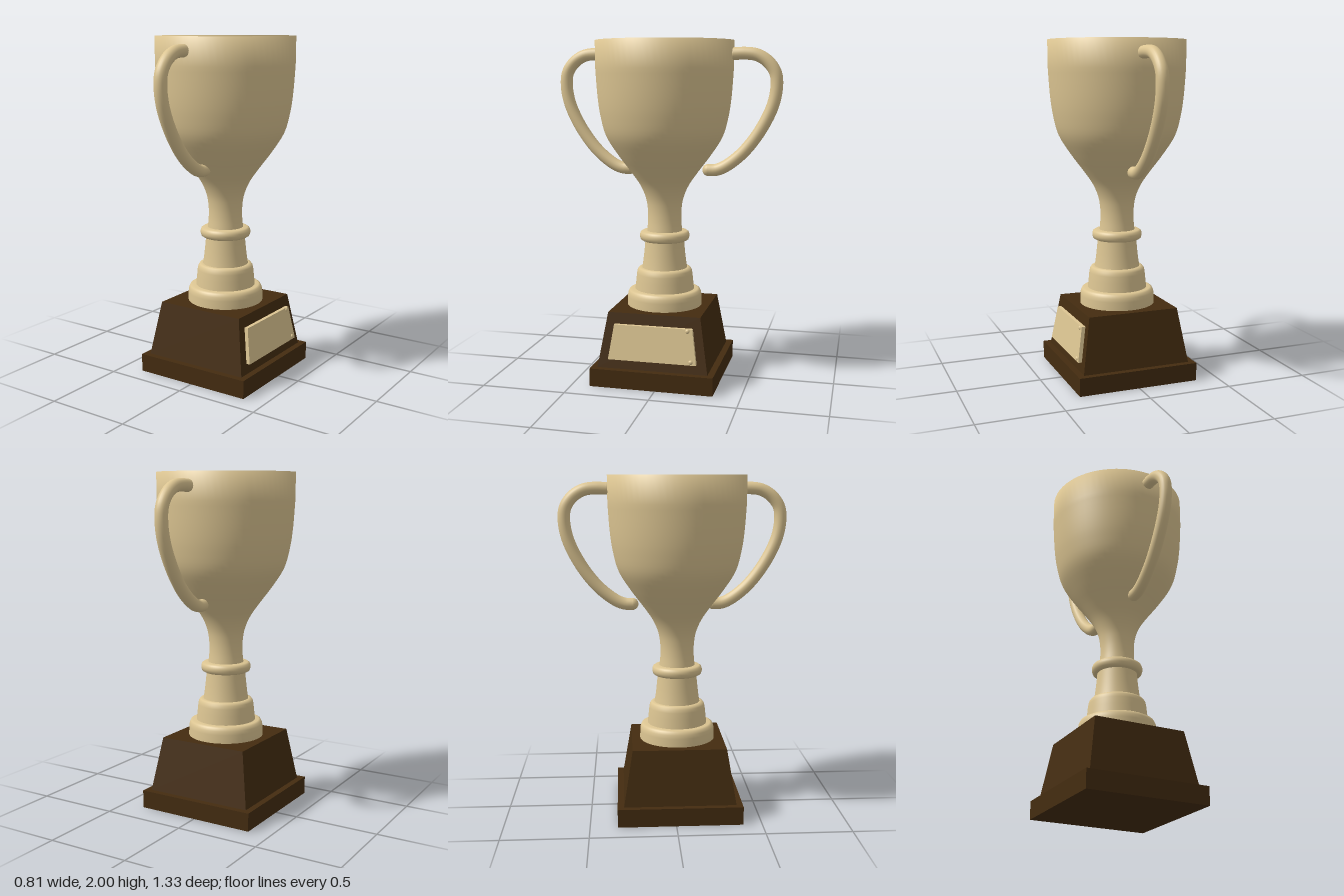
import * as THREE from 'three';

export function createModel() {
  const model = new THREE.Group();
  const gold = new THREE.MeshStandardMaterial({ color: 0xdcc592 });
  gold.name = 'pale gold';
  const wood = new THREE.MeshStandardMaterial({ color: 0x442c10 });
  wood.name = 'dark wood';
  const CENTER_Z = 0.025; // axis of cup and base

  function add(name, geometry, material, x = 0, y = 0, z = CENTER_Z) {
    const mesh = new THREE.Mesh(geometry, material);
    mesh.name = name;
    mesh.position.set(x, y, z);
    model.add(mesh);
    return mesh;
  }
  const points = (list) => list.map(([r, y]) => new THREE.Vector2(r, y));
  const lathe = (name, profile) => add(name, new THREE.LatheGeometry(profile, 64), gold);

  // Wooden base: square plinth and tapered block
  add('plinth', new THREE.BoxGeometry(0.73, 0.107, 0.73), wood, 0, 0.0535);
  const block = new THREE.BoxGeometry(1, 0.323, 1);
  const bp = block.attributes.position;
  for (let i = 0; i < bp.count; i++) {
    const width = bp.getY(i) > 0 ? 0.55 : 0.656;
    bp.setX(i, bp.getX(i) * width);
    bp.setZ(i, bp.getZ(i) * width);
  }
  block.computeVertexNormals();
  add('taperedBlock', block, wood, 0, 0.2685);

  // Name plate leaning with the left side of the block
  const faceX = (y) => 0.275 + (0.43 - y) * 0.164;
  const plate = new THREE.BoxGeometry(0.024, 0.202, 1);
  const pp = plate.attributes.position;
  for (let i = 0; i < pp.count; i++) {
    const y = pp.getY(i) + 0.265;
    pp.setX(i, pp.getX(i) + faceX(y) + 0.01);
    pp.setZ(i, pp.getZ(i) * (y > 0.265 ? 0.465 : 0.524));
  }
  plate.computeVertexNormals();
  add('plate', plate, gold, 0, 0.265, 0.023);
  for (const [y, z] of [[0.354, -0.182], [0.181, -0.207]]) {
    const screw = add('plateScrew', new THREE.SphereGeometry(0.013, 16, 10), gold, faceX(y) + 0.021, y, z);
    screw.scale.x = 0.7;
  }

  // Stepped foot
  lathe('lowerFoot', points([
    [0.225, 0.428], [0.224, 0.48], [0.221, 0.502], [0.213, 0.519], [0.2, 0.526], [0.16, 0.527],
  ]));
  lathe('upperFoot', points([
    [0.178, 0.525], [0.172, 0.58], [0.168, 0.62], [0.164, 0.64], [0.155, 0.653], [0.14, 0.657], [0.1, 0.657],
  ]));
  lathe('lowerStem', points([
    [0.136, 0.655], [0.13, 0.69], [0.124, 0.74], [0.119, 0.79], [0.116, 0.83],
  ]));
  lathe('stemRing', points([
    [0.1, 0.82], [0.132, 0.821], [0.144, 0.829], [0.149, 0.845], [0.149, 0.858],
    [0.144, 0.872], [0.132, 0.88], [0.1, 0.881],
  ]));

  // Bowl outside with a rim sloping slightly inwards
  const wall = new THREE.SplineCurve(points([
    [0.106, 0.875], [0.1, 0.94], [0.101, 1.01], [0.113, 1.08], [0.145, 1.155], [0.2, 1.235],
    [0.275, 1.335], [0.344, 1.445], [0.376, 1.56], [0.393, 1.68], [0.404, 1.84],
  ])).getPoints(40);
  lathe('bowl', [...wall, ...points([[0.405, 2], [0.323, 1.978]])]);

  // Bowl inside, narrowing to a small disc
  lathe('bowlInterior', points([
    [0.323, 1.978], [0.325, 1.84], [0.318, 1.7], [0.3, 1.56], [0.26, 1.45], [0.19, 1.34], [0.1, 1.24], [0.023, 1.17],
  ]));
  add('bowlFloor', new THREE.CylinderGeometry(0.024, 0.024, 0.01, 24), gold, 0, 1.17);

  // Mirrored handles with rounded ends
  const path = [
    [0.385, 1.922], [0.45, 1.924], [0.515, 1.915], [0.575, 1.88], [0.62, 1.82], [0.631, 1.75], [0.612, 1.635],
    [0.54, 1.485], [0.44, 1.355], [0.34, 1.275], [0.285, 1.252], [0.24, 1.25],
  ];
  for (const side of [1, -1]) {
    const handle = new THREE.Group();
    handle.name = side > 0 ? 'frontHandle' : 'backHandle';
    const nodes = path.map(([z, y]) => new THREE.Vector3(0, y, z * side));
    const tube = new THREE.TubeGeometry(new THREE.CatmullRomCurve3(nodes), 64, 0.036, 20);
    handle.add(new THREE.Mesh(tube, gold));
    for (const end of [nodes[0], nodes[nodes.length - 1]]) {
      const cap = new THREE.Mesh(new THREE.SphereGeometry(0.036, 20, 14), gold);
      cap.position.copy(end);
      handle.add(cap);
    }
    model.add(handle);
  }
  return model;
}
